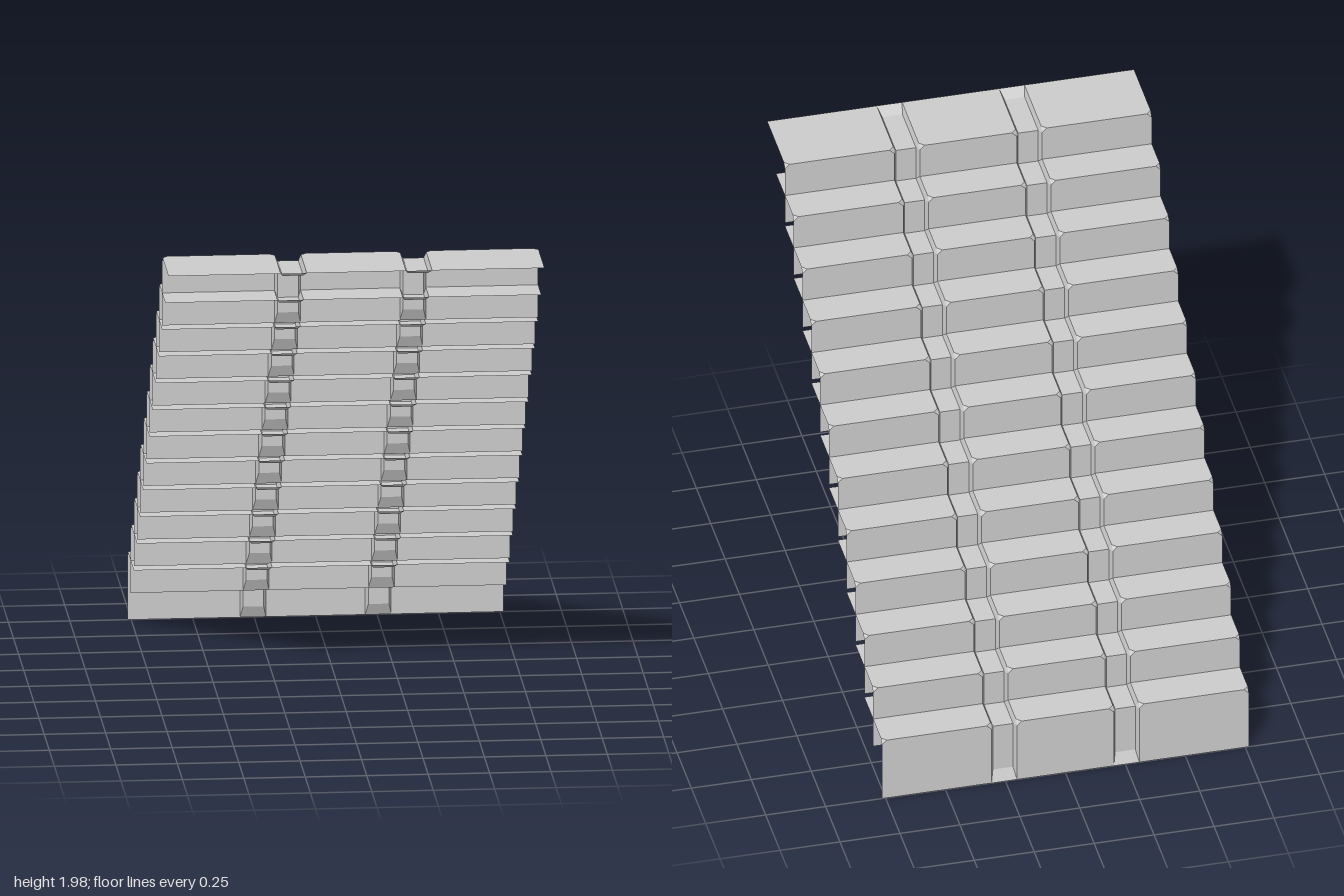
import * as THREE from 'three';

const STEPS = 12, PITCH = 0.1537;   // rise and run from one step to the next
const H = 0.29, D = 0.309;          // riser height and tread depth
const HALF = 0.765, GROOVE_X = 0.255;
const EDGE = 0.053, FLOOR = 0.042;  // groove half widths at its rim and floor
const C = 0.02, DEPTH = 0.023, RAMP = 0.05;

// Flat-faced geometry from convex polygons, each split into a fan
function fromFaces(faces) {
  const pos = [];
  for (const f of faces)
    for (let i = 1; i < f.length - 1; i++) pos.push(...f[0], ...f[i], ...f[i + 1]);
  const g = new THREE.BufferGeometry();
  g.setAttribute('position', new THREE.Float32BufferAttribute(pos, 3));
  g.computeVertexNormals();
  return g;
}

// Folded panel: riser and tread, with the ends of the fold clipped
function panelGeometry(x0, x1) {
  const a = x0 + C, b = x1 - C;
  return fromFaces([
    [[x0, 0, 0], [x0, H - C, 0], [a, H, 0], [b, H, 0], [x1, H - C, 0], [x1, 0, 0]],
    [[x0, H, C], [x0, H, D], [x1, H, D], [x1, H, C], [b, H, 0], [a, H, 0]],
    [[x0, H - C, 0], [x0, H, C], [a, H, 0]],
    [[b, H, 0], [x1, H, C], [x1, H - C, 0]],
  ]);
}

// Sunken groove following the fold, ramping out flush at both free ends
function grooveGeometry() {
  const floor = [[EDGE, 0, 0], [FLOOR, RAMP, DEPTH], [FLOOR, H - DEPTH, DEPTH],
    [FLOOR, H - DEPTH, D - RAMP], [EDGE, H, D]];
  const rim = [[EDGE, 0, 0], [EDGE, H - C, 0], [EDGE, H, C], [EDGE, H, D]];
  const flip = ([x, y, z]) => [-x, y, z];
  const faces = [];
  for (let i = 0; i < 4; i++)
    faces.push([flip(floor[i]), flip(floor[i + 1]), floor[i + 1], floor[i]]);
  const walls = [
    [rim[0], rim[1], floor[2], floor[1]],
    [rim[1], rim[2], floor[2]],
    [rim[2], rim[3], floor[3], floor[2]],
  ];
  for (const w of walls) faces.push(w.map(flip), [...w].reverse());
  return fromFaces(faces);
}

export function createModel() {
  const model = new THREE.Group();
  model.name = 'staircase';
  const material = new THREE.MeshStandardMaterial({
    color: 0xcccccc, flatShading: true, side: THREE.DoubleSide,
  });
  const inner = GROOVE_X - EDGE, outer = GROOVE_X + EDGE;
  const parts = [
    ['rightPanel', panelGeometry(-HALF, -outer), 0],
    ['centrePanel', panelGeometry(-inner, inner), 0],
    ['leftPanel', panelGeometry(outer, HALF), 0],
  ];
  const groove = grooveGeometry();
  parts.push(['rightGroove', groove, -GROOVE_X], ['leftGroove', groove, GROOVE_X]);

  // Overlapping steps climbing towards +z
  for (let i = 0; i < STEPS; i++) {
    const step = new THREE.Group();
    step.name = `step${i + 1}`;
    for (const [name, geometry, x] of parts) {
      const mesh = new THREE.Mesh(geometry, material);
      mesh.name = name;
      mesh.position.x = x;
      step.add(mesh);
    }
    step.position.set(0, i * PITCH, -1 + i * PITCH);
    model.add(step);
  }
  return model;
}
